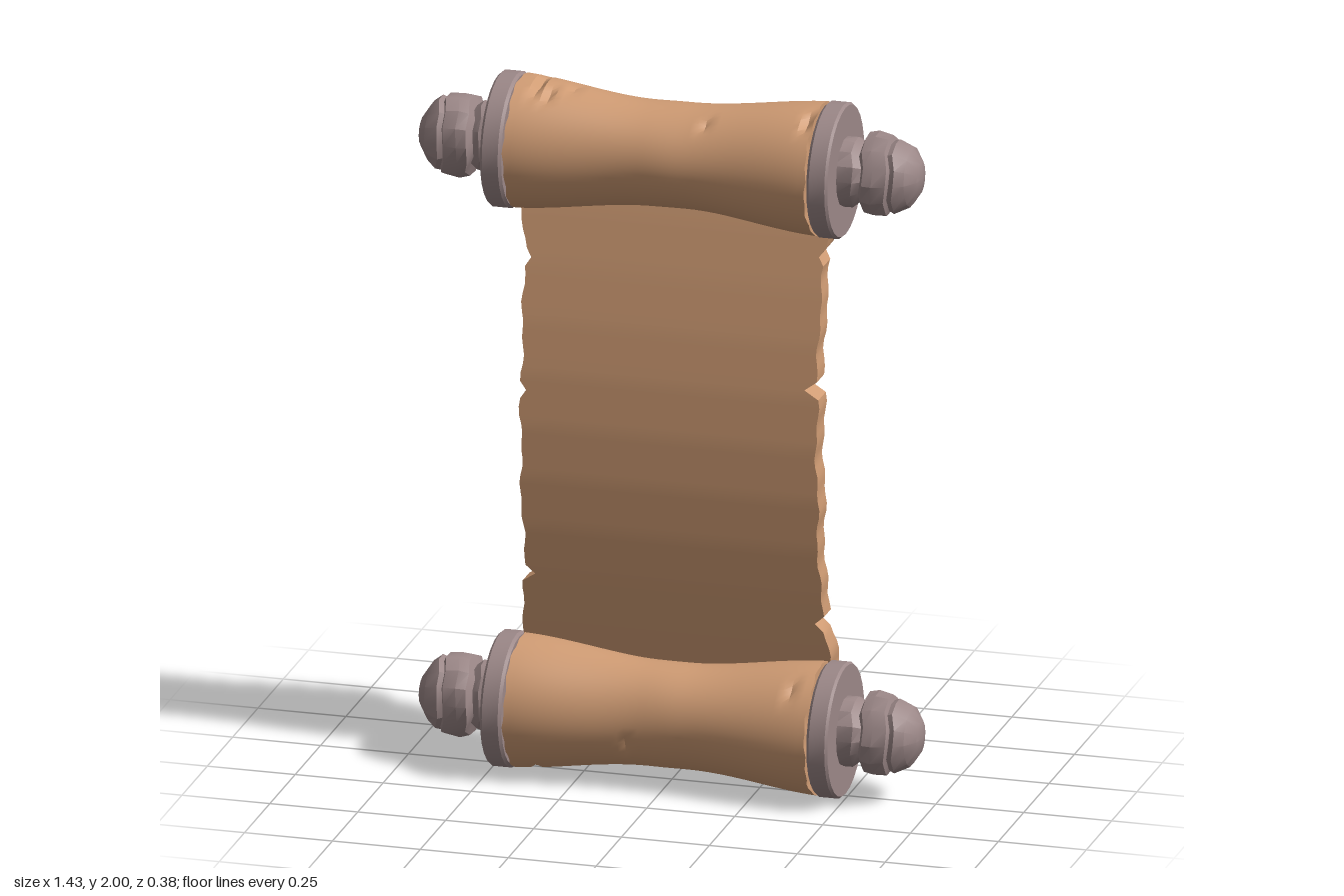
import * as THREE from 'three';
import { toCreasedNormals } from 'three/addons/utils/BufferGeometryUtils.js';

const ROLL_Y = 0.81; // roller distance above and below the middle
const HALF = 0.428; // half length of the paper roll

// Linear lookup in a list of [position, value] pairs
function lookup(table, t) {
  for (let i = 1; i < table.length; i++) {
    const [t0, v0] = table[i - 1], [t1, v1] = table[i];
    if (t <= t1) return v0 + (v1 - v0) * (t - t0) / (t1 - t0);
  }
  return table[table.length - 1][1];
}

// Move every vertex of a geometry by a rule
function deform(geometry, rule) {
  const p = geometry.attributes.position, v = new THREE.Vector3();
  for (let i = 0; i < p.count; i++) {
    v.fromBufferAttribute(p, i);
    rule(v);
    p.setXYZ(i, v.x, v.y, v.z);
  }
  return geometry;
}

// Turned shape along the x axis from [radius, x] pairs
function turned(points, sides) {
  const profile = points.map(([r, x]) => new THREE.Vector2(r, x));
  return new THREE.LatheGeometry(profile, sides).rotateZ(-Math.PI / 2);
}

// Waisted paper roll with a spiral overlap and small tears
function rollGeometry(tears, phase) {
  const points = [[0, -HALF]];
  const rings = 44;
  for (let i = 0; i <= rings; i++) {
    const x = -HALF + 2 * HALF * i / rings;
    const s = THREE.MathUtils.smoothstep(Math.abs(x), 0.05, 0.46);
    points.push([0.146 + 0.04 * s, x]);
  }
  points.push([0, HALF]);
  const geo = deform(turned(points, 56), (v) => {
    const r = Math.hypot(v.y, v.z);
    if (r < 0.01) return;
    const a = Math.atan2(v.y, v.z), end = Math.abs(v.x) / HALF;
    let k = r;
    if (Math.abs(a) > 2.25) k += 0.007 * (1 - end);
    k += 0.002 * Math.sin(3 * a + 9 * v.x + phase) * (1 - end);
    for (const [x, angle, spread, depth] of tears) {
      const d = Math.abs(a - angle) / spread;
      if (Math.abs(v.x - x) < 0.0098 && d < 1) k -= depth * (1 - d);
    }
    if (end > 0.99) v.x *= 1 + 0.01 * Math.sin(5 * a + phase) * Math.sin(11 * a);
    v.y *= k / r;
    v.z *= k / r;
  });
  return toCreasedNormals(geo, 0.6);
}

// Rough carved knob, pointing to +x
function knobGeometry(phase) {
  const geo = turned([
    [0, 0.48], [0.1, 0.48], [0.1, 0.53], [0.085, 0.55], [0.114, 0.562], [0.12, 0.59],
    [0.115, 0.628], [0.1, 0.634], [0.106, 0.648], [0.085, 0.682], [0.045, 0.708], [0, 0.714],
  ], 14);
  deform(geo, (v) => {
    const r = Math.hypot(v.y, v.z);
    if (r < 0.01) return;
    const a = Math.atan2(v.y, v.z);
    const k = 1 - 0.05 * (1 + Math.sin(3 * a + 40 * v.x + phase)) / 2;
    v.y *= k;
    v.z *= k;
    if (v.x > 0.5 && v.x < 0.66) v.x += 0.008 * Math.sin(2 * a + phase) + 0.004 * Math.sin(5 * a);
  });
  return toCreasedNormals(geo, 0.5);
}

// Bowed sheet with ragged side edges
function sheetGeometry() {
  const front = [[0, 0.035], [0.15, 0.03], [0.3, 0.015], [0.45, -0.008], [0.6, -0.036], [0.8, -0.08]];
  const back = [[0, -0.04], [0.15, -0.045], [0.3, -0.055], [0.45, -0.074], [0.55, -0.097],
    [0.62, -0.122], [0.68, -0.155], [0.74, -0.178], [0.8, -0.187]];
  const width = [[0, 0.421], [0.45, 0.42], [0.55, 0.43], [0.63, 0.443], [0.66, 0.43], [0.8, 0.428]];
  const notches = [[1, 1.17, 0.035], [1, 0.49, 0.025], [1, 1.55, 0.018],
    [-1, 0.55, 0.03], [-1, 1.1, 0.015], [-1, 1.48, 0.015]];
  const rows = 64, length = 1.58;
  const geo = deform(new THREE.BoxGeometry(2, length, 2, 10, rows, 1), (v) => {
    const side = Math.sign(v.x), u = Math.abs(v.x), isFront = v.z > 0;
    const t = Math.abs(v.y), y = v.y + 1;
    v.z = lookup(isFront ? front : back, t);
    if (!isFront) v.z *= 1 - 0.17 * (1 - u * u) * THREE.MathUtils.smoothstep(t, 0.5, 0.74);
    v.x *= lookup(width, t);
    if (u > 0.99) {
      v.x += 0.004 * Math.sin(23 * y + side) + 0.003 * Math.sin(61 * y + 2 * side);
      for (const [s, ny, depth] of notches) {
        if (s === side && Math.abs(y - ny) < length / rows / 2) v.x -= side * depth;
      }
    }
    v.y = y;
  });
  return toCreasedNormals(geo, 0.6);
}

export function createModel() {
  const paper = new THREE.MeshStandardMaterial({ color: 0xd09c74 });
  paper.name = 'tan paper';
  const wood = new THREE.MeshStandardMaterial({ color: 0x9c8888 });
  wood.name = 'grey wood';

  const model = new THREE.Group();
  model.name = 'scroll';
  const add = (parent, name, geometry, material) => {
    const mesh = new THREE.Mesh(geometry, material);
    mesh.name = name;
    parent.add(mesh);
    return mesh;
  };

  add(model, 'sheet', sheetGeometry(), paper);

  // Tears: [x, angle from the front, angular spread, depth]
  const ring = (i) => -HALF + 2 * HALF * i / 44;
  const tears = {
    upper: [[ring(3), 1.5, 0.55, 0.022], [ring(5), 1.2, 0.3, 0.016], [ring(28), 1.0, 0.25, 0.012],
      [ring(43), 1.1, 0.3, 0.02], [ring(8), 1.5, 0.35, 0.008]],
    lower: [[ring(17), -0.4, 0.3, 0.012], [ring(3), -1.3, 0.35, 0.02], [ring(41), 0.9, 0.3, 0.012]],
  };

  const disc = toCreasedNormals(turned([
    [0, 0.434], [0.182, 0.434], [0.189, 0.442], [0.189, 0.487], [0.183, 0.494], [0, 0.494],
  ], 28), 0.6);
  const rod = turned([[0.1, -0.46], [0.1, 0.46]], 16);

  for (const [name, dir] of [['upper', 1], ['lower', -1]]) {
    const roller = new THREE.Group();
    roller.name = name + 'Roller';
    roller.position.y = 1 + dir * ROLL_Y;
    model.add(roller);
    add(roller, 'paperRoll', rollGeometry(tears[name], dir), paper);
    add(roller, 'rod', rod, wood);

    // Disc and knob at both ends
    for (const side of [1, -1]) {
      const end = new THREE.Group();
      end.name = side > 0 ? 'leftEnd' : 'rightEnd';
      if (side < 0) end.rotation.y = Math.PI;
      roller.add(end);
      add(end, 'disc', disc, wood);
      add(end, 'knob', knobGeometry(side * 1.3), wood);
    }
  }
  return model;
}
